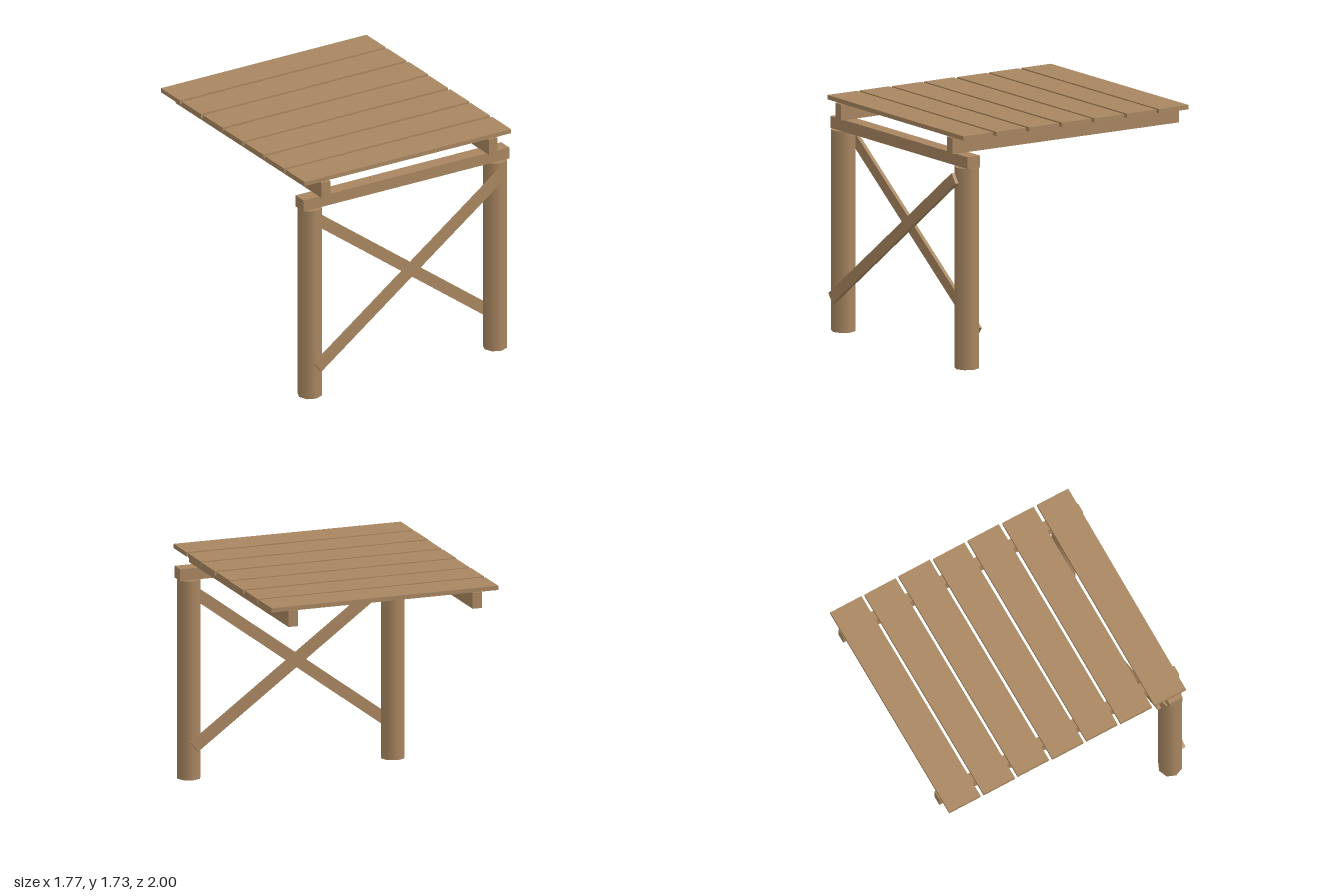
import * as THREE from 'three';

export function createModel() {
  const model = new THREE.Group();
  model.name = 'plankPlatform';
  const wood = new THREE.MeshStandardMaterial({ color: 0xa88660 });
  wood.name = 'wood';

  function add(name, geometry, x, y, z) {
    const mesh = new THREE.Mesh(geometry, wood);
    mesh.name = name;
    mesh.position.set(x, y, z);
    model.add(mesh);
    return mesh;
  }
  const box = (name, w, h, d, x, y, z) => add(name, new THREE.BoxGeometry(w, h, d), x, y, z);

  for (const [side, s] of [['left', 1], ['right', -1]]) {
    // Round support posts
    add(side + 'Post', new THREE.CylinderGeometry(0.09, 0.09, 1.485, 8), s * 0.79, 0.7425, 0.885);
    // Long joists carrying the deck
    box(side + 'Joist', 0.073, 0.118, 1.98, s * 0.713, 1.639, -0.008);
  }

  // Beam across the post tops
  box('crossBeam', 1.755, 0.087, 0.11, 0, 1.531, 0.885);

  // Diagonal braces, one on each face of the posts
  const tilt = Math.atan2(1.158, 1.577);
  box('frontBrace', 1.957, 0.087, 0.028, 0, 0.83, 0.986).rotation.z = tilt;
  box('backBrace', 1.957, 0.087, 0.028, 0, 0.83, 0.784).rotation.z = -tilt;

  // Deck planks, slightly uneven: x offset and yaw
  const planks = [
    [0, 0.003], [0, 0.004], [0.004, 0.003], [-0.002, 0.004],
    [0, 0.001], [-0.004, -0.001], [-0.004, -0.004],
  ];
  planks.forEach(([x, yaw], i) => {
    box('plank' + (i + 1), 1.757, 0.032, 0.258, x, 1.715, -0.862 + i * 0.2832).rotation.y = yaw;
  });

  return model;
}
